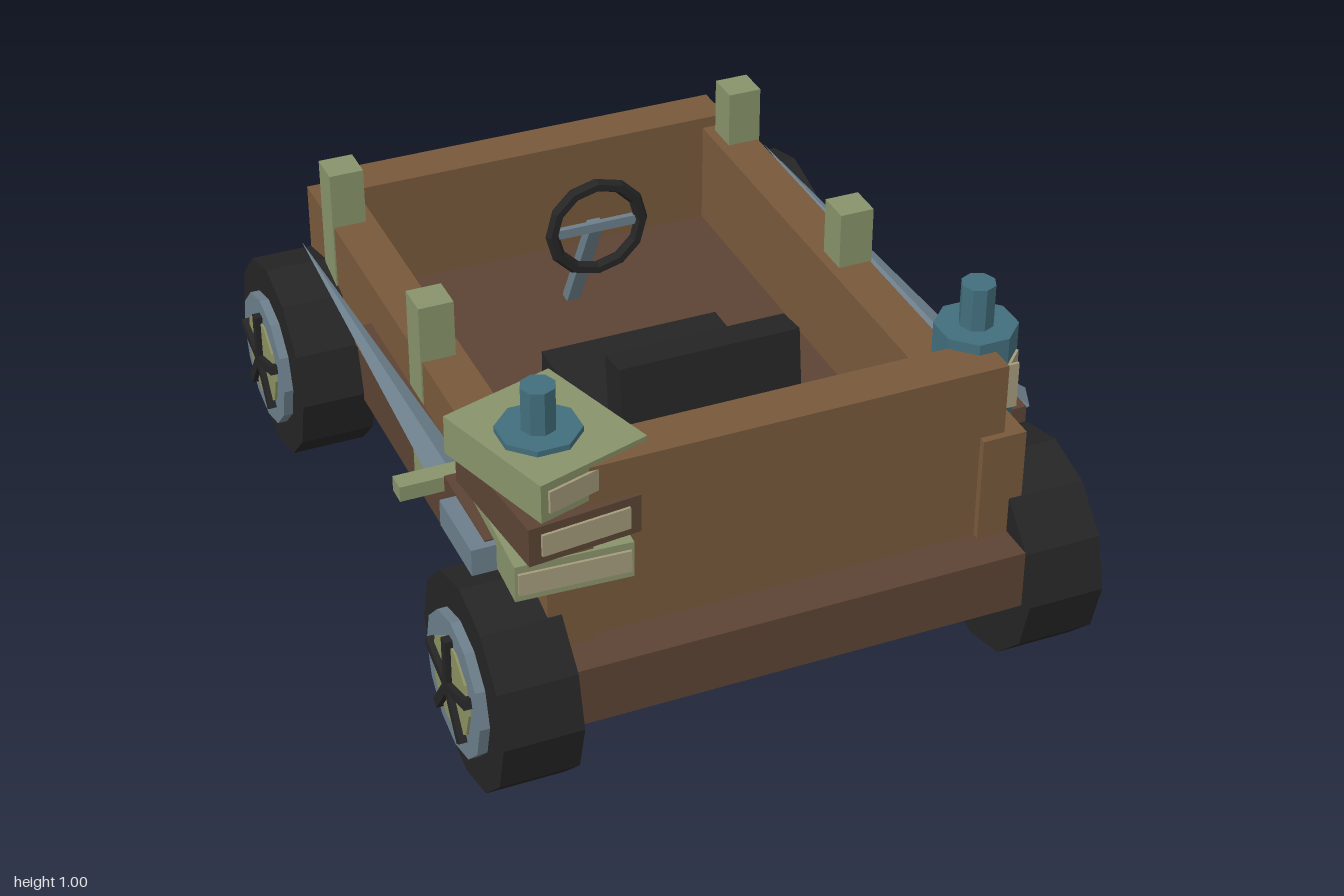
import * as THREE from 'three';

const mat = (name, color) => {
  const m = new THREE.MeshStandardMaterial({ color });
  m.name = name;
  return m;
};

export function createModel() {
  const wood = mat('wood', 0x78593b);
  const darkWood = mat('darkWood', 0x5c4434);
  const green = mat('paleGreen', 0x88936a);
  const teal = mat('teal', 0x426e7c);
  const steel = mat('steel', 0x6c7f8b);
  const black = mat('black', 0x252525);
  const cream = mat('cream', 0xa59b7c);
  const olive = mat('olive', 0x8c9162);

  const root = new THREE.Group();
  root.name = 'woodenCart';

  // Faceted mesh helper
  const add = (parent, name, geometry, material, x = 0, y = 0, z = 0) => {
    const g = geometry.index ? geometry.toNonIndexed() : geometry;
    g.computeVertexNormals();
    const mesh = new THREE.Mesh(g, material);
    mesh.name = name;
    mesh.position.set(x, y, z);
    parent.add(mesh);
    return mesh;
  };
  const box = (parent, name, material, w, h, d, x, y, z) =>
    add(parent, name, new THREE.BoxGeometry(w, h, d), material, x, y, z);
  // Cylinder whose axis runs along x
  const disc = (parent, name, material, r, w, x, sides) =>
    add(parent, name, new THREE.CylinderGeometry(r, r, w, sides).rotateZ(Math.PI / 2), material, x);

  // Body: base, walls and floor planks
  box(root, 'base', darkWood, 1.19, 0.155, 1.92, 0, 0.323, 0);
  for (const s of [-1, 1]) box(root, 'sideWall', wood, 0.112, 0.28, 1.73, s * 0.543, 0.538, 0);
  box(root, 'frontWall', wood, 1.1, 0.465, 0.12, 0, 0.63, 0.787);
  box(root, 'backWall', wood, 1.1, 0.31, 0.12, 0, 0.553, -0.81);
  for (let i = -2; i <= 2; i++) box(root, 'floorPlank', darkWood, 0.165, 0.02, 0.33, i * 0.195, 0.407, 0.565);

  // Upright posts along both sides
  for (const s of [-1, 1]) for (const z of [-0.68, 0, 0.7])
    box(root, 'post', green, 0.09, 0.54, 0.09, s * 0.558, 0.56, z);

  // Wheels with hub discs and five spokes
  for (const s of [-1, 1]) for (const z of [-0.735, 0.735]) {
    const wheel = new THREE.Group();
    wheel.name = 'wheel';
    wheel.position.set(0, 0.265, z);
    root.add(wheel);
    disc(wheel, 'tire', black, 0.265, 0.195, s * 0.663, 12);
    disc(wheel, 'rim', steel, 0.178, 0.06, s * 0.755, 12);
    disc(wheel, 'hub', olive, 0.122, 0.06, s * 0.761, 10);
    for (let i = 0; i < 5; i++) {
      const a = i * Math.PI * 2 / 5;
      const spoke = box(wheel, 'spoke', black, 0.02, 0.138, 0.025, s * 0.795,
        Math.cos(a) * 0.066, Math.sin(a) * 0.066);
      spoke.rotation.x = a;
    }
  }

  // Canisters on the front corner posts
  for (const s of [-1, 1]) {
    const body = new THREE.CylinderGeometry(0.1, 0.1, 0.275, 8).rotateY(Math.PI / 8);
    add(root, 'canister', body, teal, s * 0.545, 0.752, 0.69);
    add(root, 'canisterNeck', new THREE.CylinderGeometry(0.042, 0.042, 0.12, 8), teal, s * 0.545, 0.94, 0.69);
  }
  box(root, 'canisterLabel', cream, 0.075, 0.12, 0.008, 0.573, 0.76, 0.786);
  const sideLabel = box(root, 'canisterSideLabel', cream, 0.06, 0.12, 0.008, 0.612, 0.76, 0.757);
  sideLabel.rotation.y = Math.PI / 4;

  // Twisted stack of books around the right canister: material, size, centre, turn, label
  const books = [
    [green, 0.3, 0.1, 0.35, 0.825, 0.675, 0.3, 0.16],
    [darkWood, 0.28, 0.1, 0.37, 0.713, 0.685, 0.1, 0.22],
    [green, 0.28, 0.095, 0.36, 0.608, 0.69, -0.05, 0.265],
  ];
  for (const [m, w, h, d, y, z, turn, labelW] of books) {
    const book = new THREE.Group();
    book.name = 'book';
    book.position.set(-0.525, y, z);
    book.rotation.y = turn;
    root.add(book);
    box(book, 'bookBlock', m, w, h, d, 0, 0, 0);
    box(book, 'bookLabel', cream, labelW, 0.057, 0.008, -0.02 * (turn > 0.2 ? 2.5 : 0), 0, d / 2 + 0.003);
  }

  // Swords slung along both sides
  for (const s of [-1, 1]) {
    const sword = new THREE.Group();
    sword.name = 'sword';
    sword.position.set(s * 0.662, 0.6, 0);
    root.add(sword);
    const blade = new THREE.ConeGeometry(0.047, 1.13, 4).rotateX(-Math.PI / 2).scale(1, 0.4, 1);
    add(sword, 'blade', blade, steel, 0, 0, -0.165);
    box(sword, 'crossguard', green, 0.195, 0.04, 0.05, s * 0.036, 0.005, 0.415);
    box(sword, 'grip', darkWood, 0.05, 0.045, 0.27, 0, 0.006, 0.575);
  }

  // Mace on the left side
  box(root, 'maceShaft', steel, 0.022, 0.022, 0.8, 0.63, 0.582, 0.12);
  add(root, 'maceHead', new THREE.SphereGeometry(0.105, 8, 4).scale(0.95, 0.24, 1), steel, 0.656, 0.587, 0.585);

  // Hammer on the right side
  box(root, 'hammerShaft', darkWood, 0.025, 0.025, 0.8, -0.632, 0.584, 0.11);
  box(root, 'hammerHead', steel, 0.12, 0.07, 0.21, -0.667, 0.59, 0.625);

  // Seat
  box(root, 'seatCushion', black, 0.475, 0.13, 0.47, 0, 0.465, 0.135);
  const back = new THREE.Group();
  back.name = 'seatBack';
  back.position.set(0, 0.625, 0.373);
  back.rotation.x = -0.12;
  root.add(back);
  box(back, 'backrest', black, 0.465, 0.3, 0.09, 0, 0, 0);
  box(back, 'backrestPanel', darkWood, 0.345, 0.2, 0.02, 0, 0.02, -0.052);

  // Steering wheel and column
  add(root, 'steeringWheel', new THREE.TorusGeometry(0.122, 0.018, 6, 12), black, 0, 0.72, -0.315);
  box(root, 'steeringBar', steel, 0.23, 0.025, 0.016, 0, 0.72, -0.318);
  const column = box(root, 'steeringColumn', steel, 0.036, 0.37, 0.03, 0, 0.56, -0.415);
  column.rotation.x = 0.5;

  return root;
}
